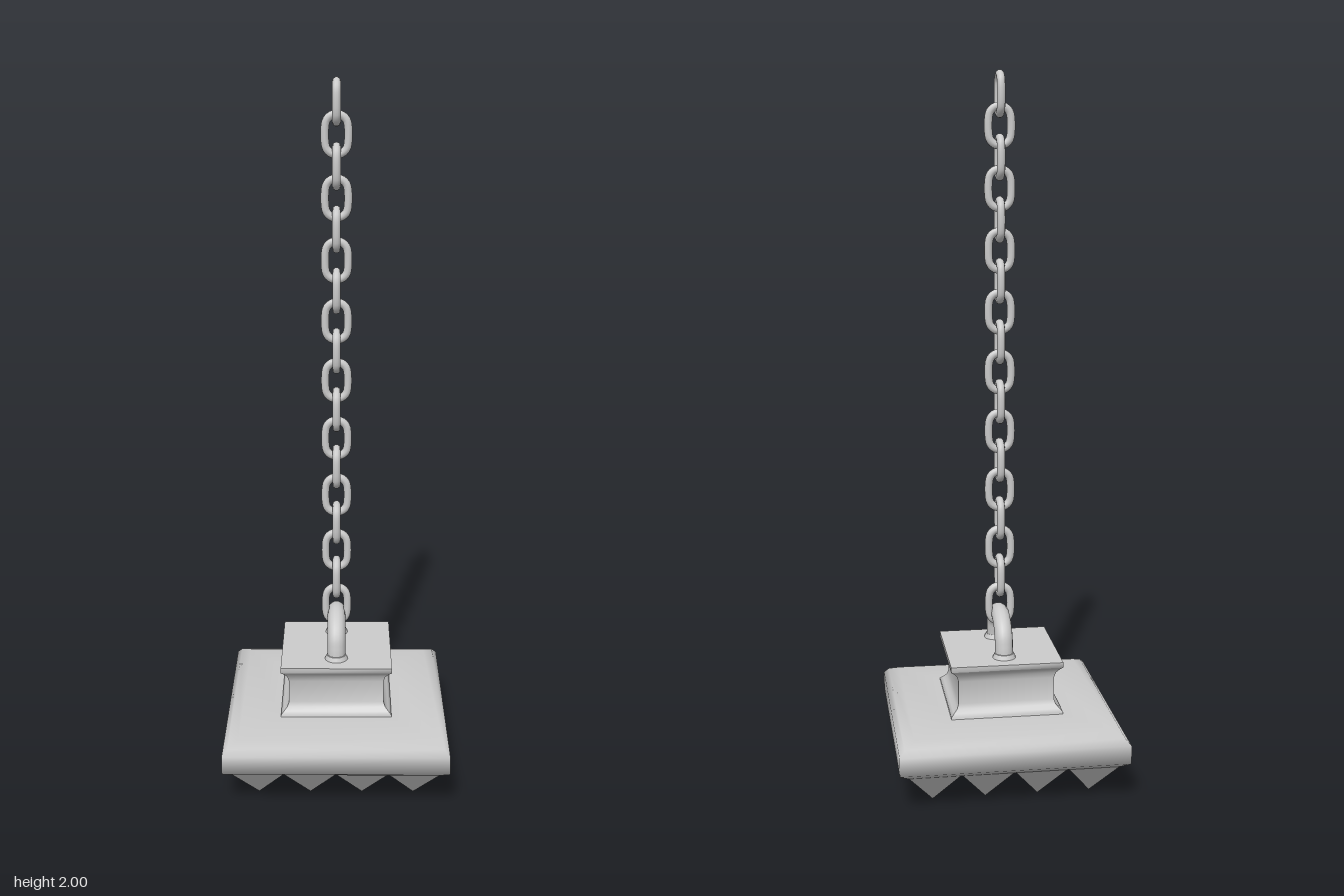
import * as THREE from 'three';
import { toCreasedNormals } from 'three/addons/utils/BufferGeometryUtils.js';

const material = new THREE.MeshStandardMaterial({ color: 0xcccccc });

function add(parent, name, geometry, x = 0, y = 0, z = 0) {
  const mesh = new THREE.Mesh(geometry, material);
  mesh.name = name;
  mesh.position.set(x, y, z);
  parent.add(mesh);
  return mesh;
}

// Stacks rectangular rings [halfX, halfZ, y] from bottom to top and caps both ends
function rectLoft(rings, creaseAngle) {
  const pos = [], index = [];
  for (const [a, b, y] of rings) pos.push(-a, y, b, a, y, b, a, y, -b, -a, y, -b);
  for (let r = 0; r < rings.length - 1; r++) {
    for (let i = 0; i < 4; i++) {
      const p = r * 4 + i, q = r * 4 + (i + 1) % 4;
      index.push(p, q, q + 4, p, q + 4, p + 4);
    }
  }
  const t = (rings.length - 1) * 4;
  index.push(0, 2, 1, 0, 3, 2, t, t + 1, t + 2, t, t + 2, t + 3);
  const geometry = new THREE.BufferGeometry();
  geometry.setAttribute('position', new THREE.Float32BufferAttribute(pos, 3));
  geometry.setIndex(index);
  return toCreasedNormals(geometry, creaseAngle);
}

// Stadium-shaped chain link standing in the xy plane
function linkGeometry(radius, straight, tube) {
  const points = [];
  for (const side of [1, -1]) {
    for (let i = 0; i <= 6; i++) {
      const a = (i / 6) * Math.PI + (side < 0 ? Math.PI : 0);
      points.push(new THREE.Vector3(Math.cos(a) * radius, Math.sin(a) * radius + side * straight, 0));
    }
  }
  const curve = new THREE.CatmullRomCurve3(points, true);
  return new THREE.TubeGeometry(curve, 36, tube, 10, true);
}

export function createModel() {
  const model = new THREE.Group();
  model.name = 'hangingSpikedWeight';

  // Heavy slab with softened edges
  add(model, 'slab', rectLoft([
    [0.295, 0.315, 0.1], [0.32, 0.342, 0.118], [0.32, 0.342, 0.17],
    [0.305, 0.327, 0.187], [0.275, 0.297, 0.2], [0.16, 0.163, 0.202],
  ], 1.7));

  // Four by four pyramid spikes underneath
  const spikes = new THREE.Group();
  spikes.name = 'spikes';
  model.add(spikes);
  const stepX = 0.148, stepZ = 0.157;
  const spike = new THREE.ConeGeometry(Math.SQRT1_2, 0.1, 4, 1).toNonIndexed();
  spike.rotateY(Math.PI / 4).rotateX(Math.PI).scale(stepX, 1, stepZ);
  spike.computeVertexNormals();
  for (let i = 0; i < 4; i++) {
    for (let j = 0; j < 4; j++) {
      add(spikes, 'spike', spike, (i - 1.5) * stepX, 0.052, (j - 1.5) * stepZ);
    }
  }

  // Square neck flaring out at foot and top plate
  const neck = [
    [0.16, 0.2], [0.16, 0.208], [0.152, 0.216], [0.142, 0.226], [0.137, 0.24],
    [0.137, 0.305], [0.142, 0.322], [0.152, 0.334], [0.16, 0.341], [0.16, 0.356],
  ];
  add(model, 'neck', rectLoft(neck.map(([w, y]) => [w, w + 0.003, y]), 1.0));

  // Arched handle with collars at its feet
  const archPoints = [new THREE.Vector3(0, 0.35, 0.092), new THREE.Vector3(0, 0.37, 0.091)];
  for (let i = 0; i <= 8; i++) {
    const a = (i / 8) * Math.PI;
    archPoints.push(new THREE.Vector3(0, 0.385 + 0.074 * Math.sin(a), 0.089 * Math.cos(a)));
  }
  archPoints.push(new THREE.Vector3(0, 0.37, -0.091), new THREE.Vector3(0, 0.35, -0.092));
  const arch = new THREE.CatmullRomCurve3(archPoints);
  add(model, 'handle', new THREE.TubeGeometry(arch, 36, 0.026, 14));
  for (const side of [1, -1]) {
    add(model, 'handleCollar', new THREE.CylinderGeometry(0.028, 0.034, 0.014, 16), 0, 0.362, side * 0.093);
  }

  // Chain of links, each turned a quarter from the last
  const chain = new THREE.Group();
  chain.name = 'chain';
  model.add(chain);
  const link = linkGeometry(0.031, 0.0225, 0.0115);
  for (let i = 0; i < 18; i++) {
    const mesh = add(chain, 'chainLink', link, 0, 0.488 + i * 0.0851, 0);
    if (i % 2) mesh.rotation.y = Math.PI / 2;
  }
  return model;
}
